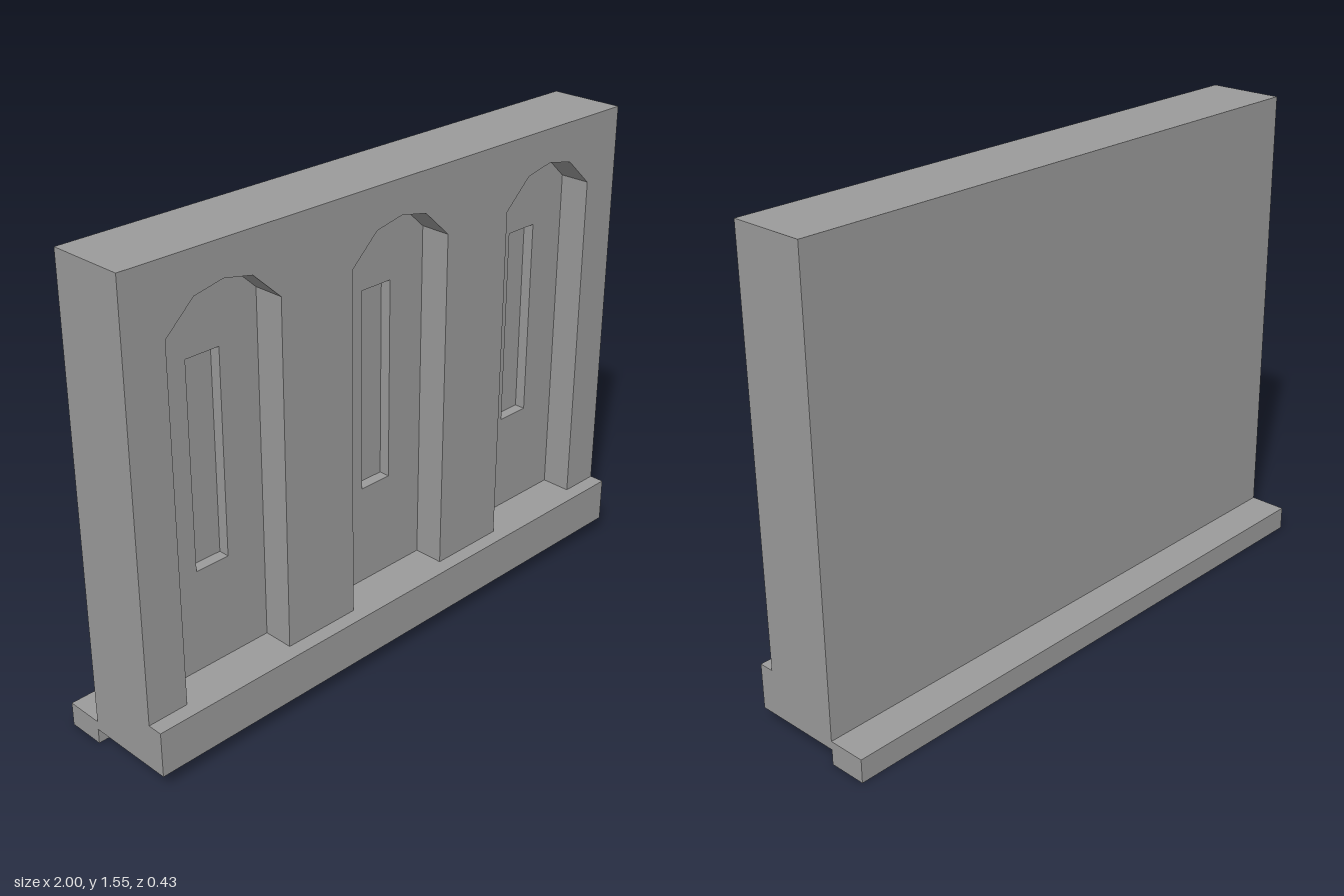
import * as THREE from 'three';

const material = new THREE.MeshStandardMaterial({ color: 0x9b9b9b, flatShading: true });
const BAYS = [-0.665, 0, 0.664];
const BOTTOM = 0.05, TOP = 1.55;

const outline = (Type, points, dx = 0) =>
  new Type(points.map(([x, y]) => new THREE.Vector2(x + dx, y)));

const rect = (x0, y0, x1, y1) => [[x0, y0], [x1, y0], [x1, y1], [x0, y1]];

// Faceted arch niche and narrow slot, both centred on x = 0
const ARCH = [[-0.198, 0.2], [0.198, 0.2], [0.198, 1.33], [0.1, 1.42], [0, 1.44], [-0.1, 1.42], [-0.198, 1.33]];
const SLOT = rect(-0.059, 0.535, 0.059, 1.197);

export function createModel() {
  const group = new THREE.Group();

  const add = (name, geometry) => {
    const mesh = new THREE.Mesh(geometry, material);
    mesh.name = name;
    group.add(mesh);
  };

  // A full-width slab of wall between two depths, pierced once per bay
  const wallLayer = (name, z0, z1, opening) => {
    const shape = outline(THREE.Shape, rect(-1, BOTTOM, 1, TOP));
    if (opening) shape.holes = BAYS.map((x) => outline(THREE.Path, opening, x));
    const geometry = new THREE.ExtrudeGeometry(shape, { depth: z1 - z0, bevelEnabled: false });
    add(name, geometry.translate(0, 0, z0));
  };

  // A full-width bar
  const bar = (name, y0, y1, z0, z1) =>
    add(name, new THREE.BoxGeometry(2, y1 - y0, z1 - z0).translate(0, (y0 + y1) / 2, (z0 + z1) / 2));

  // Wall: solid back, slotted middle, arched front
  wallLayer('backWall', -0.088, 0.026);
  wallLayer('slotWall', 0.026, 0.062, SLOT);
  wallLayer('archWall', 0.062, 0.163, ARCH);

  // Projecting base courses
  bar('frontPlinth', BOTTOM, 0.2, 0.163, 0.213);
  bar('backLedge', 0, 0.078, -0.213, -0.088);

  return group;
}
